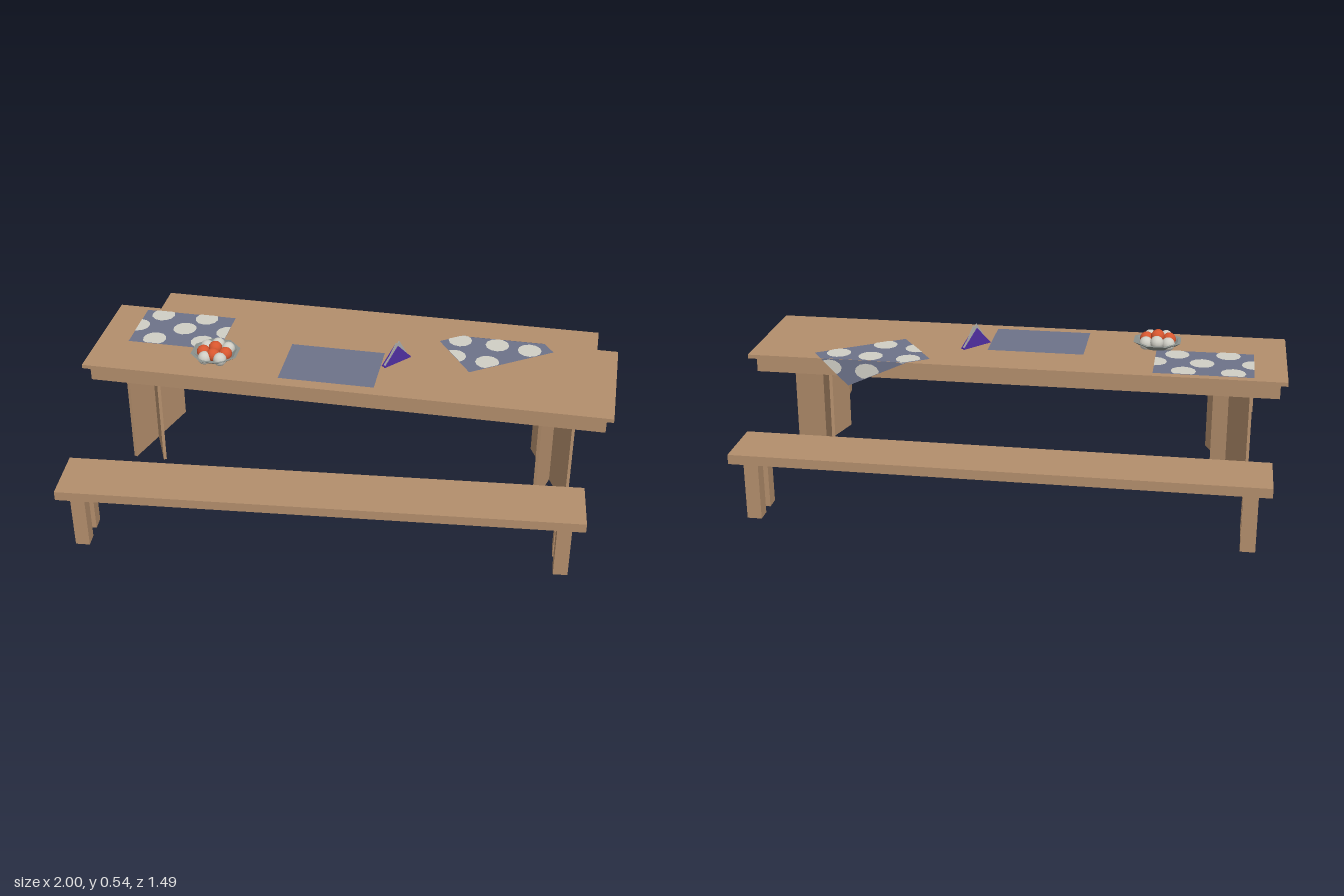
import * as THREE from 'three';

export function createModel() {
  const mat = (name, color, double) => {
    const m = new THREE.MeshStandardMaterial({ color });
    m.name = name;
    if (double) m.side = THREE.DoubleSide;
    return m;
  };
  const wood = mat('wood', 0xb38e6c);
  const cloth = mat('blue cloth', 0x6d7289, true);
  const cream = mat('cream', 0xcfcec5, true);
  const metal = mat('bowl grey', 0x8a908c, true);
  const red = mat('fruit red', 0xd8572f);
  const purple = mat('purple', 0x4f2ea0);
  const grey = mat('napkin grey', 0xa9a9a6);

  const model = new THREE.Group();
  model.name = 'diningSet';
  const group = (name, parent = model) => {
    const g = new THREE.Group();
    g.name = name;
    parent.add(g);
    return g;
  };
  const add = (parent, name, geo, material, x = 0, y = 0, z = 0) => {
    const m = new THREE.Mesh(geo, material);
    m.name = name;
    m.position.set(x, y, z);
    parent.add(m);
    return m;
  };
  // Box given by its bounds
  const box = (parent, name, x0, x1, y0, y1, z0, z1) =>
    add(parent, name, new THREE.BoxGeometry(x1 - x0, y1 - y0, z1 - z0), wood,
      (x0 + x1) / 2, (y0 + y1) / 2, (z0 + z1) / 2);

  // Table: top, hollow apron frame, crossed leg panels
  const TOP = 0.452, BACK = -0.272;
  const table = group('table');
  box(table, 'tableTop', -1, 1, 0.437, TOP, -0.27, 0.205);
  box(table, 'apronFront', -0.975, 0.975, 0.378, 0.437, 0.16, 0.185);
  box(table, 'apronBack', -0.975, 0.975, 0.378, 0.437, -0.245, -0.22);
  box(table, 'apronLeft', 0.95, 0.975, 0.378, 0.437, -0.22, 0.16);
  box(table, 'apronRight', -0.975, -0.95, 0.378, 0.437, -0.22, 0.16);

  const panel = (name, xFront, xBack) => {
    const dx = xFront - xBack, dz = 0.345;
    const p = add(table, name, new THREE.BoxGeometry(0.012, 0.427, Math.hypot(dx, dz)), wood,
      (xFront + xBack) / 2, 0.2235, -0.022);
    p.rotation.y = Math.atan2(dx, dz);
  };
  for (const shift of [0, -1.58]) {
    panel('legPanelA', 0.86 + shift, 0.706 + shift);
    panel('legPanelB', 0.738 + shift, 0.838 + shift);
  }

  // Benches, the front one set askew
  const bench = (name, x, z, angle) => {
    const b = group(name);
    b.position.set(x, 0, z);
    b.rotation.y = angle;
    box(b, 'seat', -0.9385, 0.9385, 0.22, 0.255, -0.106, 0.106);
    for (const lx of [-0.868, 0.868])
      for (const lz of [-0.05, 0.05])
        box(b, 'benchLeg', lx - 0.026, lx + 0.026, 0, 0.22, lz - 0.026, lz + 0.026);
  };
  bench('frontBench', -0.006, 0.555, 0.088);
  bench('backBench', -0.0125, -0.64, 0);

  // Place mats: convex polygons in (u, v), clipped and folded over the back edge
  const clip = (poly, f) => poly.flatMap((p, i) => {
    const q = poly[(i + 1) % poly.length], a = f(p), b = f(q), out = [];
    if (a >= 0) out.push(p);
    if (a * b < 0) {
      const t = a / (a - b);
      out.push([p[0] + (q[0] - p[0]) * t, p[1] + (q[1] - p[1]) * t]);
    }
    return out;
  });
  const W = 0.365, H = 0.25, R = 0.046;
  const spots = [[0.075, 0.03], [0.255, 0.03], [0.0, 0.125], [0.19, 0.12],
    [0.365, 0.12], [0.095, 0.215], [0.285, 0.205]];
  const placeMat = (name, x0, z0, angle, dotted) => {
    const g = group(name), c = Math.cos(angle), s = Math.sin(angle);
    const wx = ([u, v]) => x0 + u * c + v * s;
    const wz = ([u, v]) => z0 - u * s + v * c;
    const surface = (label, poly, material, lift) => {
      const halves = [[1, 'Flat'], [-1, 'Hanging']];
      for (const [sign, suffix] of halves) {
        const part = clip(poly, p => sign * (wz(p) - BACK));
        if (part.length < 3) continue;
        const pos = part.flatMap(p => sign > 0
          ? [wx(p), TOP + lift, wz(p)]
          : [wx(p), TOP + lift - (BACK - wz(p)) * 0.68, BACK - lift]);
        const index = [];
        for (let i = 1; i < part.length - 1; i++) index.push(0, i, i + 1);
        const geo = new THREE.BufferGeometry();
        geo.setAttribute('position', new THREE.Float32BufferAttribute(pos, 3));
        geo.setIndex(index);
        geo.computeVertexNormals();
        add(g, label + suffix, geo, material);
      }
    };
    surface('cloth', [[0, 0], [0, H], [W, H], [W, 0]], cloth, 0.002);
    if (!dotted) return;
    for (const [u, v] of spots) {
      let poly = [];
      for (let i = 0; i < 12; i++) {
        const a = i / 12 * Math.PI * 2;
        poly.push([u + R * Math.sin(a), v + R * Math.cos(a)]);
      }
      for (const f of [p => p[0], p => W - p[0], p => p[1], p => H - p[1]]) poly = clip(poly, f);
      surface('spot', poly, cream, 0.004);
    }
  };
  placeMat('spottedMat', -0.88, -0.245, 0, true);
  placeMat('plainMat', -0.247, -0.09, 0, false);
  placeMat('drapedMat', 0.313, -0.22, 0.592, true);

  // Octagonal bowl with fruit
  const bowl = group('fruitBowl');
  bowl.position.set(-0.515, TOP, 0.053);
  const profile = [[0, 0.002], [0.06, 0.002], [0.096, 0.026], [0.084, 0.026], [0.056, 0.008], [0, 0.008]];
  const bowlGeo = new THREE.LatheGeometry(profile.map(p => new THREE.Vector2(...p)), 8).toNonIndexed();
  bowlGeo.computeVertexNormals();
  add(bowl, 'bowl', bowlGeo, metal).rotation.y = Math.PI / 8;
  const ball = new THREE.SphereGeometry(0.026, 12, 8);
  for (const [x, y, z] of [[-0.044, 0.026, 0.012], [0.042, 0.026, 0.012], [0, 0.04, -0.002], [0, 0.03, 0.034]])
    add(bowl, 'redFruit', ball, red, x, y, z);
  for (const [x, y, z] of [[0, 0.03, -0.046], [-0.042, 0.022, -0.034], [0.042, 0.022, -0.034],
    [-0.03, 0.022, 0.05], [0.03, 0.022, 0.05]])
    add(bowl, 'paleFruit', ball, cream, x, y, z);

  // Napkin holder: two triangular plates with napkins between
  const holder = group('napkinHolder');
  holder.position.set(0.171, TOP, -0.042);
  holder.rotation.y = 0.862;
  const triangle = (name, half, apexX, height, z, depth, material) => {
    const s = new THREE.Shape([[-half, 0], [half, 0], [apexX, height]].map(p => new THREE.Vector2(...p)));
    add(holder, name, new THREE.ExtrudeGeometry(s, { depth, bevelEnabled: false }), material, 0, 0, z);
  };
  triangle('holderFront', 0.066, 0, 0.072, 0.006, 0.004, purple);
  triangle('holderBack', 0.066, 0, 0.072, -0.01, 0.004, purple);
  triangle('napkinFront', 0.064, -0.006, 0.086, 0.001, 0.004, grey);
  triangle('napkinBack', 0.064, 0.014, 0.084, -0.005, 0.004, grey);
  box(holder, 'holderBase', -0.064, 0.064, 0, 0.005, -0.006, 0.006).material = purple;

  return model;
}
